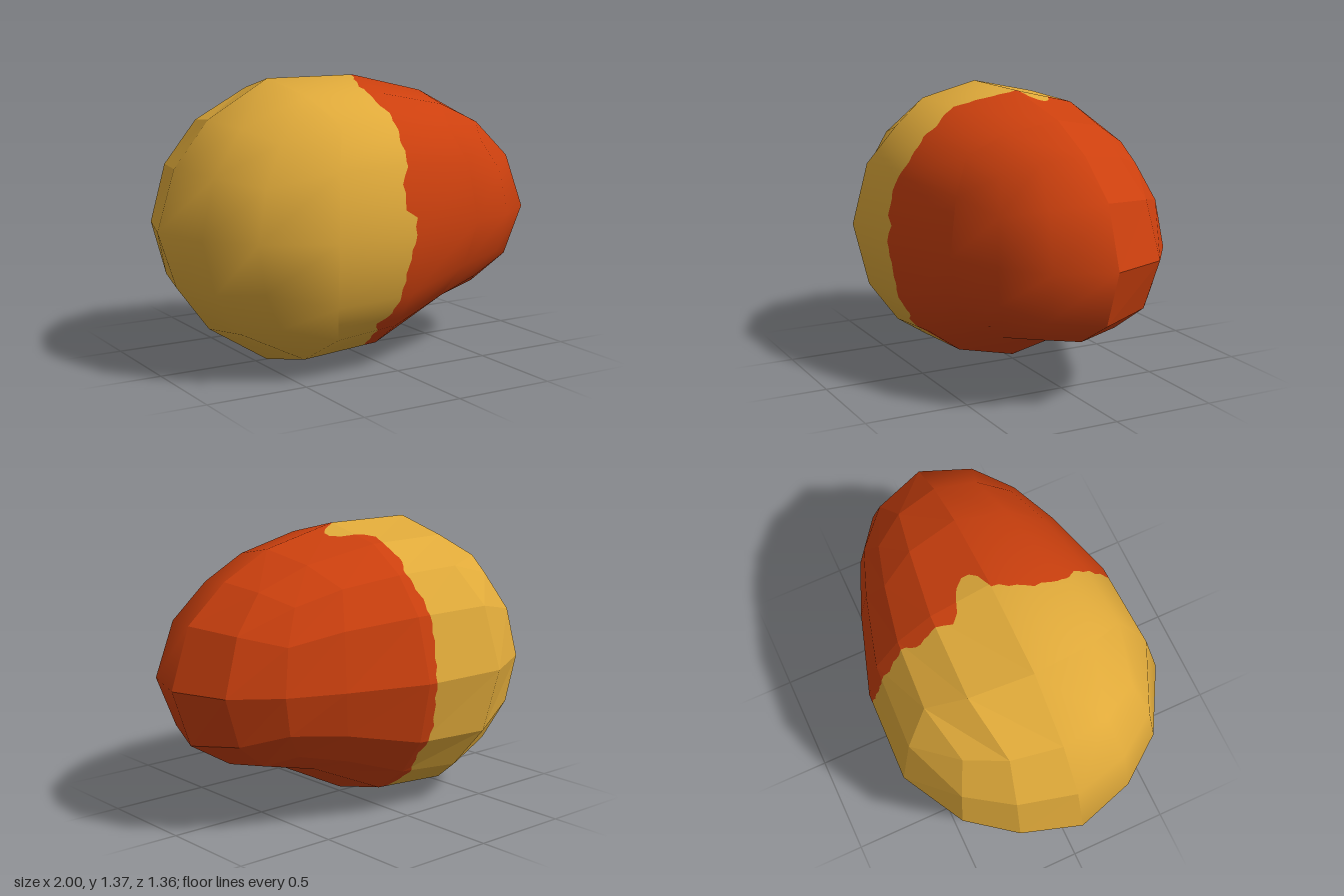
import * as THREE from 'three';
import { mergeVertices } from 'three/addons/utils/BufferGeometryUtils.js';

const MID = 0.685;

// Linear interpolation through [key, value] pairs
function lerpTable(keys, values, k) {
  if (k <= keys[0]) return values[0];
  for (let i = 1; i < keys.length; i++) {
    if (k <= keys[i]) {
      const t = (k - keys[i - 1]) / (keys[i] - keys[i - 1]);
      return values[i - 1] + t * (values[i] - values[i - 1]);
    }
  }
  return values[values.length - 1];
}

// Fruit profile along x: position and spread of the unit sphere's rings
const U = [-1, -0.894, -0.707, -0.447, 0, 0.447, 0.707, 0.894, 1];
const X_TOP = [-1, -0.91, -0.73, -0.42, 0.05, 0.45, 0.7, 0.9, 1];
const X_LOW = [-1, -0.91, -0.75, -0.44, 0, 0.4, 0.68, 0.905, 1];
const TOP = [0.62, 0.645, 0.718, 0.768, 0.687, 0.665, 0.66, 0.645, 0.62];
const LOW = [0.6, 0.608, 0.695, 0.766, 0.663, 0.52, 0.572, 0.61, 0.6];
const WIDE = [0.62, 0.638, 0.72, 0.76, 0.667, 0.605, 0.615, 0.615, 0.6];

// Colour border: x against the angle around the fruit (0 = top, positive = front)
const ANGLE = [-180, -140, -125, -110, -90, -70, -55, -44, -35, -28, -17, -14, -10, -3, -1,
  4, 15, 30, 36, 62, 67, 80, 82, 97, 110, 127, 130, 135, 160, 180];
const BORDER = [-0.03, -0.06, -0.02, -0.05, -0.02, -0.04, -0.03, 0, -0.04, -0.01, -0.04, 0.09, 0.15, 0.14, 0.04,
  0.03, -0.02, -0.04, 0, -0.01, -0.05, -0.05, 0, -0.02, -0.04, -0.06, -0.13, -0.1, -0.05, -0.03];

function borderDistance(p) {
  const angle = THREE.MathUtils.radToDeg(Math.atan2(p.z, p.y - MID));
  return p.x - lerpTable(ANGLE, BORDER, angle) - 0.006 * Math.sin(angle * 0.7);
}

// Rounded cube of quads, shaped to the profile
function bodyGeometry() {
  let geo = new THREE.BoxGeometry(2, 2, 2, 4, 4, 4);
  geo.deleteAttribute('normal');
  geo.deleteAttribute('uv');
  geo = mergeVertices(geo, 1e-4);
  const pos = geo.attributes.position;
  const v = new THREE.Vector3();
  for (let i = 0; i < pos.count; i++) {
    v.fromBufferAttribute(pos, i).normalize();
    const blend = (v.y + 1) / 2;
    const x = THREE.MathUtils.lerp(lerpTable(U, X_LOW, v.x), lerpTable(U, X_TOP, v.x), blend);
    const y = MID + v.y * lerpTable(U, v.y > 0 ? TOP : LOW, v.x);
    pos.setXYZ(i, x, y, v.z * lerpTable(U, WIDE, v.x));
  }
  geo.computeVertexNormals();
  return geo;
}

// Keep the part of a polygon on one side of the colour border
function clip(poly, sign) {
  const out = [];
  poly.forEach((a, i) => {
    const b = poly[(i + 1) % poly.length];
    const da = a.d * sign, db = b.d * sign;
    if (da >= 0) out.push(a);
    if ((da >= 0) !== (db >= 0)) {
      const t = da / (da - db);
      out.push({ p: a.p.clone().lerp(b.p, t), n: a.n.clone().lerp(b.n, t), d: 0 });
    }
  });
  return out;
}

// Cut one colour out of the body; the front is smooth, the back is faceted
function skinGeometry(body, sign) {
  const position = [], normal = [];
  const { position: pos, normal: nor } = body.attributes;
  const index = body.index;
  const N = 8;

  const addTriangle = (tri) => {
    const poly = clip(tri, sign);
    for (let k = 1; k + 1 < poly.length; k++) {
      for (const c of [poly[0], poly[k], poly[k + 1]]) {
        position.push(c.p.x, c.p.y, c.p.z);
        const n = c.n.clone().normalize();
        normal.push(n.x, n.y, n.z);
      }
    }
  };

  for (let f = 0; f < index.count; f += 3) {
    const ids = [0, 1, 2].map((k) => index.getX(f + k));
    const P = ids.map((i) => new THREE.Vector3().fromBufferAttribute(pos, i));
    const flat = new THREE.Triangle(...P).getNormal(new THREE.Vector3());
    const front = P[0].z + P[1].z + P[2].z > 0;
    const M = ids.map((i) => (front ? new THREE.Vector3().fromBufferAttribute(nor, i) : flat));
    const mix = (A, i, j) => new THREE.Vector3()
      .addScaledVector(A[0], 1 - (i + j) / N)
      .addScaledVector(A[1], i / N)
      .addScaledVector(A[2], j / N);
    const corner = (i, j) => {
      const p = mix(P, i, j);
      return { p, n: mix(M, i, j), d: borderDistance(p) };
    };
    // Only faces near the border need splitting
    if (P.every((p) => p.x > 0.25) || P.every((p) => p.x < -0.25)) {
      addTriangle([corner(0, 0), corner(N, 0), corner(0, N)]);
      continue;
    }
    for (let i = 0; i < N; i++) {
      for (let j = 0; i + j < N; j++) {
        addTriangle([corner(i, j), corner(i + 1, j), corner(i, j + 1)]);
        if (i + j < N - 1) addTriangle([corner(i + 1, j), corner(i + 1, j + 1), corner(i, j + 1)]);
      }
    }
  }
  const geo = new THREE.BufferGeometry();
  geo.setAttribute('position', new THREE.Float32BufferAttribute(position, 3));
  geo.setAttribute('normal', new THREE.Float32BufferAttribute(normal, 3));
  return geo;
}

export function createModel() {
  const group = new THREE.Group();
  group.name = 'fruit';
  const body = bodyGeometry();
  const parts = [
    ['yellowEnd', 'yellow skin', 0xe0aa3a, -1],
    ['redEnd', 'red skin', 0xcc400e, 1],
  ];
  for (const [name, colourName, color, sign] of parts) {
    const material = new THREE.MeshStandardMaterial({ color });
    material.name = colourName;
    const mesh = new THREE.Mesh(skinGeometry(body, sign), material);
    mesh.name = name;
    group.add(mesh);
  }
  return group;
}
